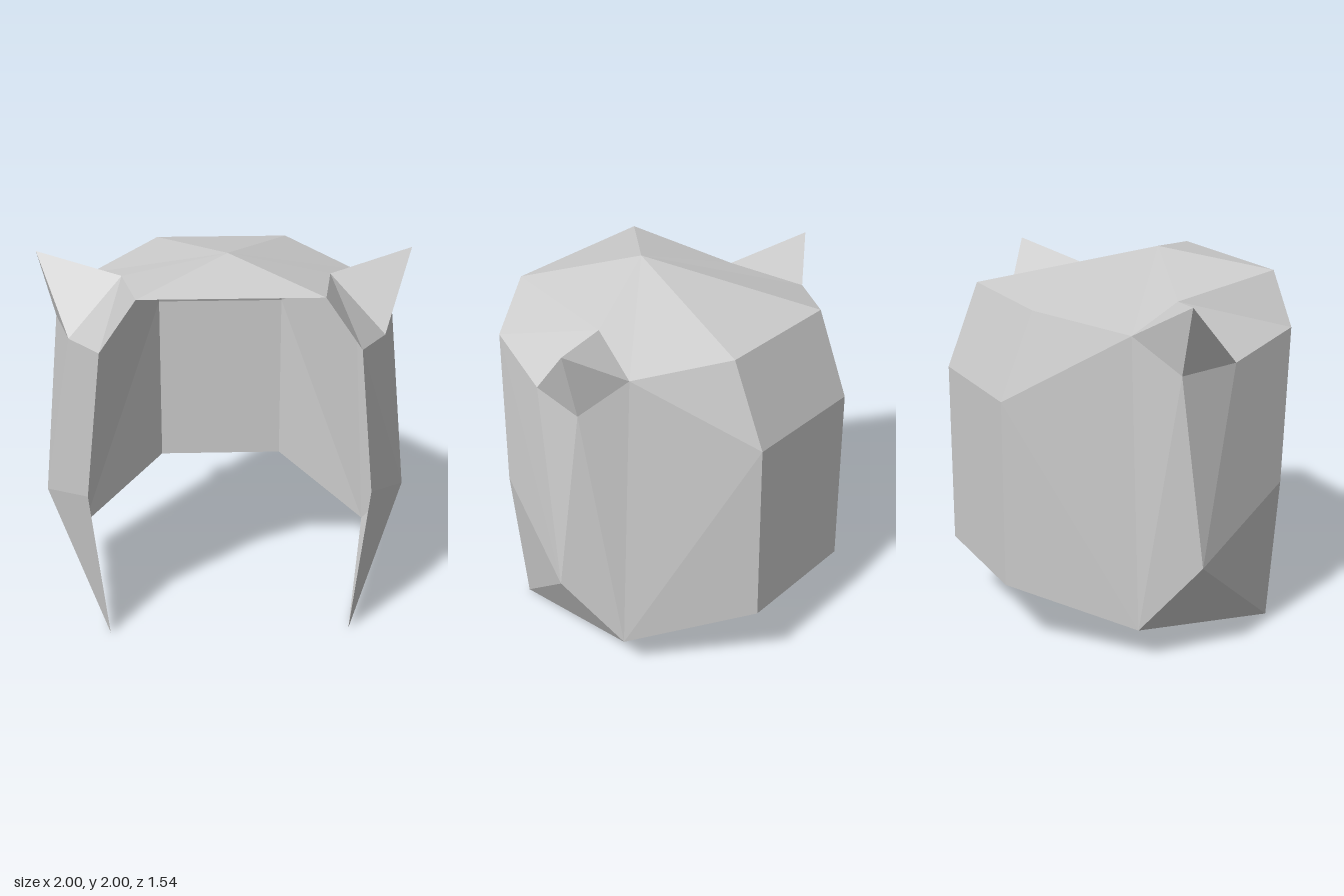
import * as THREE from 'three';

// Corner points of the shell, model's left half (+x)
const P = {
  crown: [0, 2.0, 0.32],
  fringe: [0.455, 1.91, 0.77],
  earIn: [0.545, 1.825, 0.135],
  earBack: [0.725, 1.73, -0.225],
  earTip: [1.0, 1.91, -0.045],
  earFront: [0.82, 1.55, 0.32],
  earLow: [0.91, 1.55, -0.045],
  temple: [0.64, 1.64, 0.77],
  cheek: [0.73, 0.82, 0.68],
  lockTip: [0.64, 0, 0.68],
  jaw: [1.0, 0.55, 0.045],
  nape: [0.82, 0.185, -0.225],
  backTop: [0.365, 1.82, -0.59],
  backMid: [0.365, 1.37, -0.77],
  backLow: [0.365, 0.37, -0.77],
};

// Point by name; a leading '-' gives its mirror twin
const point = (n) => {
  const [x, y, z] = P[n.replace('-', '')];
  return n[0] === '-' ? [-x, y, z] : [x, y, z];
};

// Flat panels: each face is a fan of named corners, counter-clockwise from outside
function panel(name, material, faces, mirrored = false) {
  const pos = [];
  for (const face of faces) {
    const pts = face.split(' ').map(point);
    if (mirrored) {
      pts.reverse();
      pts.forEach((p) => (p[0] *= -1));
    }
    for (let i = 1; i < pts.length - 1; i++) pos.push(...pts[0], ...pts[i], ...pts[i + 1]);
  }
  const geo = new THREE.BufferGeometry();
  geo.setAttribute('position', new THREE.Float32BufferAttribute(pos, 3));
  geo.computeVertexNormals();
  const mesh = new THREE.Mesh(geo, material);
  mesh.name = name;
  return mesh;
}

export function createModel() {
  const group = new THREE.Group();
  group.name = 'earedHood';
  const grey = new THREE.MeshStandardMaterial({ color: 0xcccccc });
  grey.name = 'light grey';
  grey.flatShading = true;
  grey.side = THREE.DoubleSide; // open shell

  // Centre strip over the head and down the back
  group.add(panel('crown', grey, ['crown -fringe fringe', 'crown backTop -backTop']));
  group.add(panel('back', grey, [
    'backTop backMid -backMid -backTop',
    'backMid backLow -backLow -backMid',
  ]));

  // Mirrored side parts
  for (const [side, mirrored] of [['left', false], ['right', true]]) {
    const add = (name, faces) => group.add(panel(side + name, grey, faces, mirrored));
    add('CrownSide', ['crown fringe earIn', 'crown earIn earBack', 'crown earBack backTop']);
    add('Temple', ['fringe temple earIn', 'temple earFront earIn']);
    add('Ear', [
      'earIn earTip earBack',
      'earIn earFront earTip',
      'earFront earLow earTip',
      'earLow earBack earTip',
    ]);
    add('FrontLock', [
      'temple cheek jaw earFront',
      'earFront jaw earLow',
      'cheek lockTip jaw',
      'lockTip nape jaw',
    ]);
    add('BackSide', [
      'earLow jaw nape',
      'earLow nape earBack',
      'earBack nape backMid',
      'nape backLow backMid',
      'earBack backMid backTop',
    ]);
  }
  return group;
}
